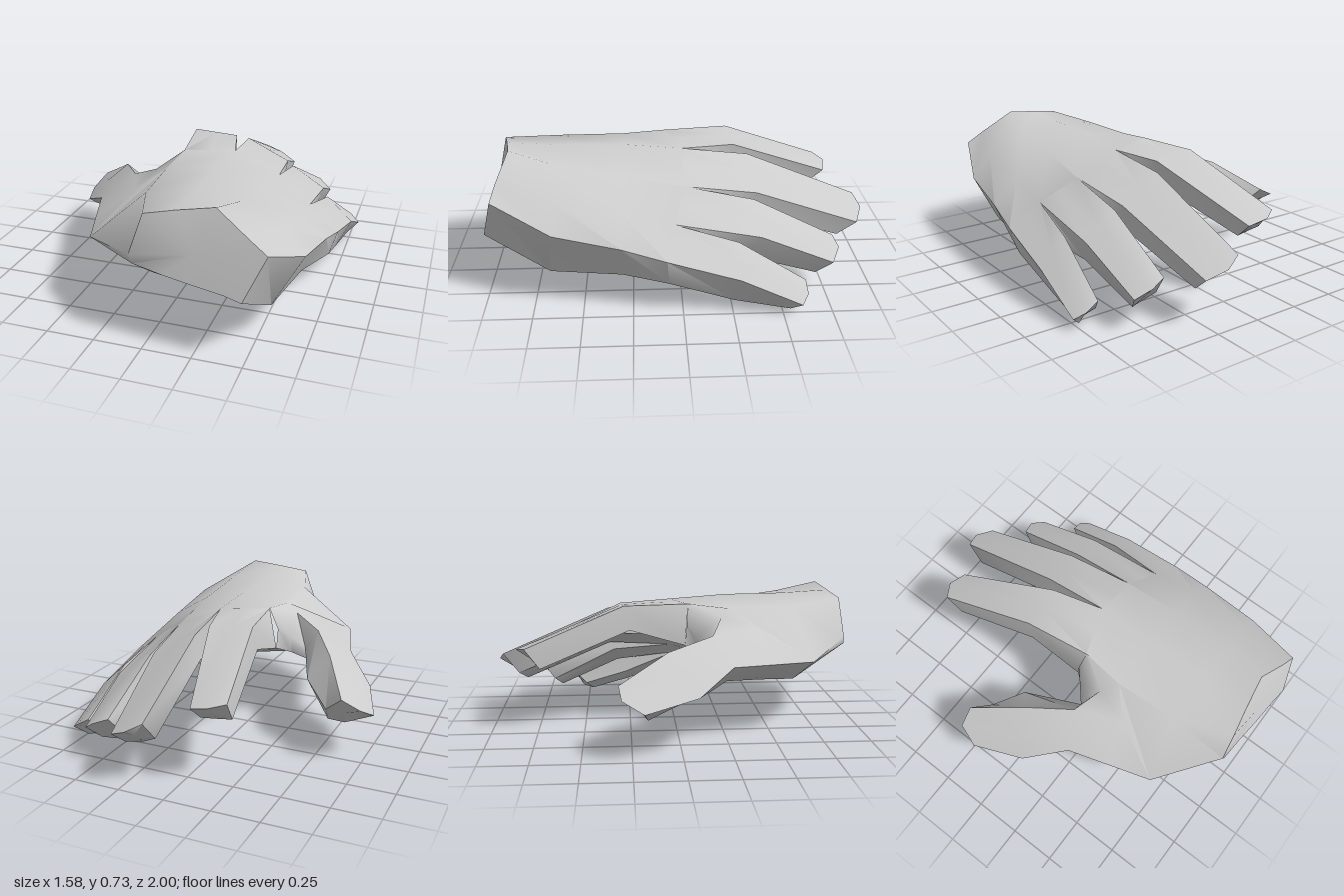
import * as THREE from 'three';
import { toCreasedNormals } from 'three/addons/utils/BufferGeometryUtils.js';

const mid = (a, b) => a.map((v, i) => (v + b[i]) / 2);

// Append a loft through equal-sized rings; rings run counterclockwise seen from +z, ordered towards -z.
function loft(out, rings, capStart, capEnd) {
  const n = rings[0].length;
  for (let s = 0; s + 1 < rings.length; s++) {
    for (let i = 0; i < n; i++) {
      const j = (i + 1) % n;
      const a = rings[s][i], b = rings[s][j], c = rings[s + 1][i], d = rings[s + 1][j];
      out.push(...a, ...c, ...b, ...b, ...c, ...d);
    }
  }
  const cap = (ring, flip) => {
    const centre = [0, 1, 2].map(k => ring.reduce((t, p) => t + p[k], 0) / n);
    for (let i = 0; i < n; i++) {
      const a = ring[i], b = ring[(i + 1) % n];
      out.push(...centre, ...(flip ? b : a), ...(flip ? a : b));
    }
  };
  if (capStart) cap(rings[0], false);
  if (capEnd) cap(rings[rings.length - 1], true);
}

// Four-cornered finger section widened to six points
const six = ([bl, br, tr, tl]) => [bl, mid(bl, br), br, tr, mid(tr, tl), tl];

export function createModel() {
  const skin = new THREE.MeshStandardMaterial({ color: 0xcccccc });
  skin.name = 'plain grey';

  // Palm rings: five points below (thumb to little finger), five above, one on the thumb edge
  const wrist = [
    [-0.05, 0.43, 0.955], [0.1, 0.4, 0.965], [0.25, 0.38, 0.98], [0.4, 0.36, 0.99], [0.49, 0.34, 1],
    [0.59, 0.56, 0.94], [0.5, 0.62, 0.92], [0.33, 0.73, 0.87], [0.15, 0.705, 0.9], [0, 0.68, 0.93],
    [-0.07, 0.47, 0.95]];
  const heel = [
    [-0.06, 0.23, 0.67], [0.08, 0.212, 0.67], [0.23, 0.195, 0.67], [0.4, 0.175, 0.67], [0.55, 0.155, 0.67],
    [0.7, 0.43, 0.64], [0.59, 0.56, 0.64], [0.38, 0.67, 0.64], [0.15, 0.69, 0.64], [-0.1, 0.65, 0.64],
    [-0.38, 0.4, 0.71]];
  const middle = [
    [-0.12, 0.35, 0.3], [0.05, 0.32, 0.3], [0.25, 0.28, 0.3], [0.45, 0.22, 0.3], [0.62, 0.165, 0.3],
    [0.74, 0.37, 0.3], [0.6, 0.5, 0.3], [0.4, 0.62, 0.3], [0.15, 0.685, 0.3], [-0.12, 0.645, 0.3],
    [-0.16, 0.48, 0.3]];
  const knuckles = [
    [-0.15, 0.45, 0.05], [0.16, 0.45, 0], [0.41, 0.34, 0], [0.6, 0.25, 0.04], [0.72, 0.165, 0.07],
    [0.765, 0.31, 0.08], [0.6, 0.43, 0.04], [0.41, 0.55, -0.02], [0.16, 0.66, -0.02], [-0.1, 0.67, 0.07],
    [-0.155, 0.56, 0.06]];

  // Fingers: joint corners (bottom left, bottom right, top right, top left) and a six-point tip
  const fingers = [
    { name: 'indexFinger',
      joint: [[-0.165, 0.54, -0.25], [0.09, 0.53, -0.28], [0.09, 0.65, -0.3], [-0.15, 0.67, -0.28]],
      tip: [[-0.24, 0.35, -0.73], [-0.16, 0.34, -0.73], [-0.08, 0.34, -0.75],
        [-0.07, 0.42, -0.84], [-0.17, 0.445, -0.86], [-0.25, 0.46, -0.81]] },
    { name: 'middleFinger',
      joint: [[0.125, 0.47, -0.34], [0.36, 0.37, -0.36], [0.375, 0.49, -0.4], [0.14, 0.615, -0.37]],
      tip: [[0.1, 0.25, -0.88], [0.19, 0.2, -0.84], [0.28, 0.19, -0.86],
        [0.3, 0.27, -0.96], [0.2, 0.315, -1], [0.115, 0.36, -0.97]] },
    { name: 'ringFinger',
      joint: [[0.385, 0.32, -0.34], [0.555, 0.22, -0.32], [0.595, 0.345, -0.4], [0.41, 0.47, -0.38]],
      tip: [[0.39, 0.14, -0.7], [0.48, 0.085, -0.66], [0.53, 0.1, -0.7],
        [0.575, 0.18, -0.78], [0.5, 0.23, -0.82], [0.42, 0.26, -0.8]] },
    { name: 'littleFinger',
      joint: [[0.59, 0.13, -0.27], [0.71, 0.055, -0.26], [0.785, 0.21, -0.28], [0.64, 0.345, -0.28]],
      tip: [[0.62, 0.05, -0.52], [0.69, 0, -0.48], [0.73, 0.01, -0.54],
        [0.79, 0.065, -0.59], [0.74, 0.1, -0.625], [0.67, 0.14, -0.62]] },
  ];

  // Thumb rings: outer edge, underside, lower and upper inner edge, top ridge, outer face
  // The root spans the palm's edge and the next ring forms the web
  const thumb = [
    [heel[10], heel[0], knuckles[0], knuckles[10], knuckles[9], middle[9]],
    [[-0.45, 0.405, 0.49], [-0.24, 0.275, 0.45], [-0.21, 0.41, 0.13],
      [-0.215, 0.5, 0.115], [-0.2, 0.61, 0.24], [-0.25, 0.56, 0.42]],
    [[-0.52, 0.41, 0.27], [-0.38, 0.305, 0.25], [-0.3, 0.36, 0.19],
      [-0.28, 0.43, 0.17], [-0.35, 0.54, 0.18], [-0.435, 0.48, 0.23]],
    [[-0.69, 0.3, 0.08], [-0.54, 0.25, 0.04], [-0.43, 0.28, -0.04],
      [-0.4, 0.37, -0.13], [-0.5, 0.49, -0.06], [-0.6, 0.4, 0.01]],
    [[-0.79, 0.25, -0.19], [-0.63, 0.175, -0.17], [-0.53, 0.17, -0.15],
      [-0.55, 0.27, -0.255], [-0.65, 0.36, -0.315], [-0.75, 0.31, -0.3]],
  ];

  // Gather every part in one surface so shading runs smoothly over the seams
  const points = [], parts = [];
  const addPart = (name, rings, capStart, capEnd) => {
    const start = points.length;
    loft(points, rings, capStart, capEnd);
    parts.push({ name, start, end: points.length });
  };
  addPart('palm', [wrist, heel, middle, knuckles], true, false);
  fingers.forEach(({ name, joint, tip }, f) => {
    const base = [knuckles[f], knuckles[f + 1], knuckles[8 - f], knuckles[9 - f]];
    addPart(name, [six(base), six(joint), tip], false, true);
  });
  addPart('thumb', thumb, false, true);

  const surface = new THREE.BufferGeometry();
  surface.setAttribute('position', new THREE.Float32BufferAttribute(points, 3));
  const shaded = toCreasedNormals(surface, 1.15);

  // Cut the shaded surface back into named parts
  const hand = new THREE.Group();
  hand.name = 'hand';
  for (const { name, start, end } of parts) {
    const geometry = new THREE.BufferGeometry();
    for (const key of ['position', 'normal']) {
      geometry.setAttribute(key, new THREE.BufferAttribute(shaded.attributes[key].array.slice(start, end), 3));
    }
    const mesh = new THREE.Mesh(geometry, skin);
    mesh.name = name;
    hand.add(mesh);
  }
  return hand;
}
